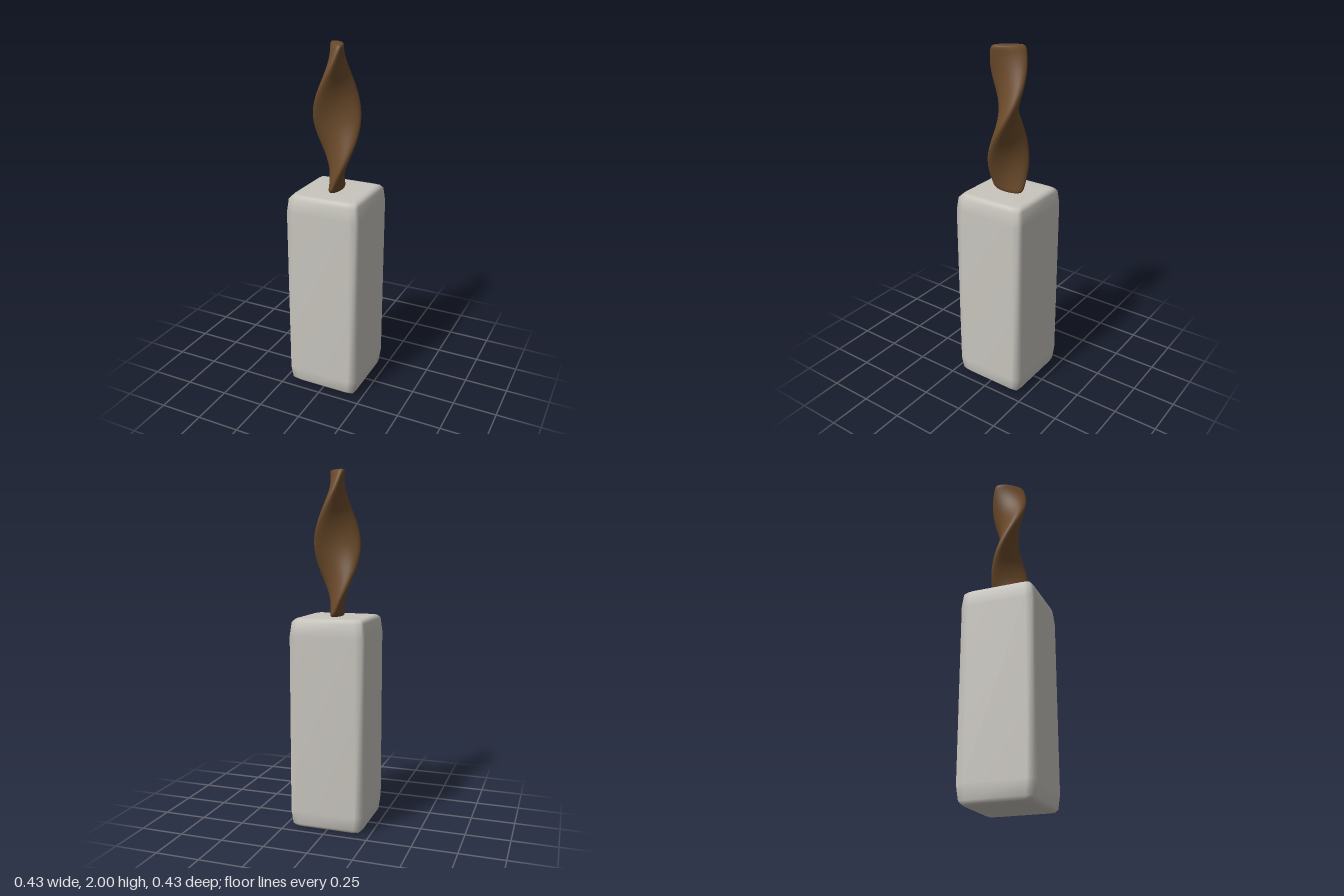
import * as THREE from 'three';

// Closed, smooth skin over horizontal rings of [x, y, z] points
function loft(rings) {
  const n = rings[0].length, m = rings.length;
  const pos = rings.flat(2), idx = [];
  for (let i = 0; i < m - 1; i++) {
    for (let j = 0; j < n; j++) {
      const k = (j + 1) % n;
      const a = i * n + j, b = i * n + k, c = a + n, d = b + n;
      idx.push(a, c, b, b, c, d);
    }
  }
  pos.push(0, rings[0][0][1], 0, 0, rings[m - 1][0][1], 0);
  const bottom = m * n, top = bottom + 1, last = (m - 1) * n;
  for (let j = 0; j < n; j++) {
    const k = (j + 1) % n;
    idx.push(bottom, j, k, top, last + k, last + j);
  }
  const geo = new THREE.BufferGeometry();
  geo.setAttribute('position', new THREE.Float32BufferAttribute(pos, 3));
  geo.setIndex(idx);
  geo.computeVertexNormals();
  return geo;
}

// Square ring with softened corners
function squareRing(y, h) {
  const corner = [[h, h - 0.043], [h - 0.006, h - 0.006], [h - 0.043, h]];
  const ring = [];
  for (let q = 0; q < 4; q++) {
    const c = Math.round(Math.cos(q * Math.PI / 2)), s = Math.round(Math.sin(q * Math.PI / 2));
    for (const [x, z] of corner) ring.push([x * c - z * s, y, x * s + z * c]);
  }
  return ring;
}

// Elliptical ring of the twisting form; t runs from its foot to its tip
function twistRing(t, shrink) {
  const bulge = Math.sin(Math.PI * t);
  const a = (0.09 + 0.04 * bulge) * shrink, b = (0.034 + 0.02 * bulge) * shrink;
  const turn = Math.PI / 2 - 1.2 * Math.PI * t;
  const c = Math.cos(turn), s = Math.sin(turn);
  const ring = [];
  for (let j = 0; j < 48; j++) {
    const u = a * Math.cos(j * Math.PI / 24), v = b * Math.sin(j * Math.PI / 24);
    ring.push([u * c - v * s, 1.2 + 0.8 * t, u * s + v * c]);
  }
  return ring;
}

export function createModel() {
  const group = new THREE.Group();
  const stone = new THREE.MeshStandardMaterial({ color: 0xc8c5be });
  stone.name = 'pale stone';
  const bronze = new THREE.MeshStandardMaterial({ color: 0x6b4a2a });
  bronze.name = 'brown bronze';

  // Pedestal with rounded edges, mirrored about its middle
  const half = [[0, 0.165], [0.004, 0.188], [0.022, 0.204], [0.1, 0.213]];
  const profile = [...half, ...half.map(([y, h]) => [1.2 - y, h]).reverse()];
  const pedestal = new THREE.Mesh(loft(profile.map(([y, h]) => squareRing(y, h))), stone);
  pedestal.name = 'pedestal';
  group.add(pedestal);

  // Twisted sculpture with softened ends
  const rings = [];
  const steps = 80;
  rings.push(twistRing(0, 0.82), twistRing(0.004, 0.9), twistRing(0.012, 0.96));
  for (let i = 2; i <= steps - 2; i++) rings.push(twistRing(i / steps, 1));
  rings.push(twistRing(0.988, 0.97), twistRing(0.996, 0.92), twistRing(1, 0.84));
  const sculpture = new THREE.Mesh(loft(rings), bronze);
  sculpture.name = 'twistedSculpture';
  group.add(sculpture);

  return group;
}
